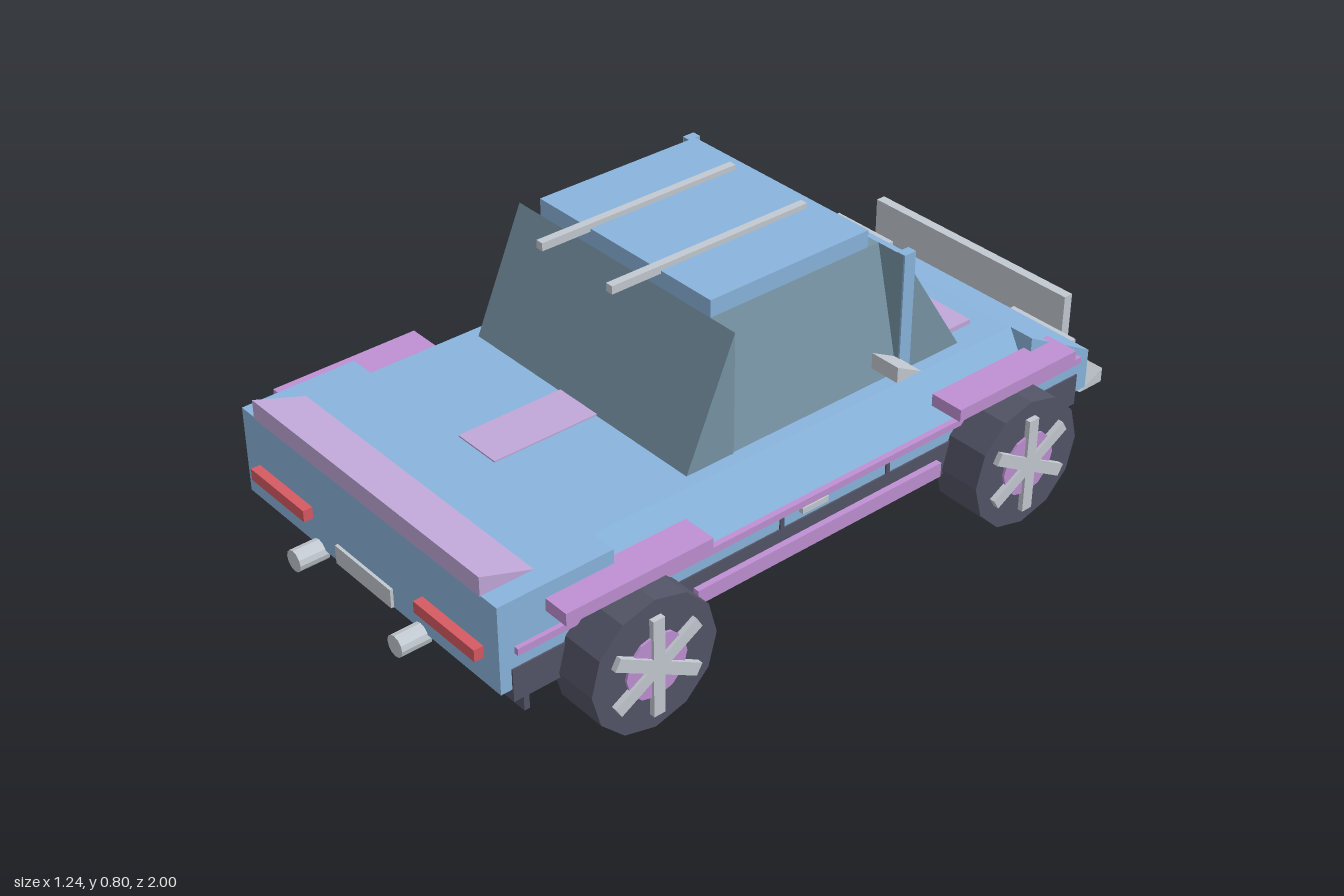
import * as THREE from 'three';

const paint = (name, color) => {
  const m = new THREE.MeshStandardMaterial({ color });
  m.name = name;
  return m;
};

export function createModel() {
  const blue = paint('bodyBlue', 0x8ab5dd);
  const glass = paint('glass', 0x7794a5);
  const dark = paint('darkGrey', 0x535567);
  const violet = paint('violet', 0xbf90d3);
  const lilac = paint('lilac', 0xc0a8d8);
  const silver = paint('silver', 0xc2c9d0);
  const red = paint('lampRed', 0xd65a62);

  const car = new THREE.Group();
  car.name = 'car';

  const add = (name, geometry, material, parent = car) => {
    const mesh = new THREE.Mesh(geometry, material);
    mesh.name = name;
    parent.add(mesh);
    return mesh;
  };
  // Box given by its limits on each axis
  const box = (name, mat, [x0, x1], [y0, y1], [z0, z1]) => {
    const g = new THREE.BoxGeometry(x1 - x0, y1 - y0, z1 - z0);
    g.translate((x0 + x1) / 2, (y0 + y1) / 2, (z0 + z1) / 2);
    return add(name, g, mat);
  };
  const pair = (name, mat, [x0, x1], ys, zs) => {
    box(name + 'Left', mat, [x0, x1], ys, zs);
    box(name + 'Right', mat, [-x1, -x0], ys, zs);
  };
  // Side profile of [z, y] points stretched across x
  const sidePrism = (name, mat, points, x0, x1) => {
    const shape = new THREE.Shape(points.map(([z, y]) => new THREE.Vector2(-z, y)));
    const g = new THREE.ExtrudeGeometry(shape, { depth: x1 - x0, bevelEnabled: false });
    g.rotateY(Math.PI / 2).translate(x0, 0, 0);
    return add(name, g, mat);
  };
  // Cross-section of [x, y] points, mirrored in x, stretched along z
  const longPrism = (name, mat, half, z0, z1) => {
    const mirrored = half.map(([x, y]) => [-x, y]).reverse();
    const shape = new THREE.Shape([...half, ...mirrored].map(([x, y]) => new THREE.Vector2(x, y)));
    const g = new THREE.ExtrudeGeometry(shape, { depth: z1 - z0, bevelEnabled: false });
    g.translate(0, 0, z0);
    return add(name, g, mat);
  };

  // Body: tail block, middle with slanted shoulders, sloping nose
  box('tailBody', blue, [-0.49, 0.49], [0.195, 0.427], [0.62, 0.93]);
  longPrism('middleBody', blue, [[0.49, 0.195], [0.49, 0.3], [0.42, 0.427]], -0.68, 0.62);
  sidePrism('noseBody', blue,
    [[-0.68, 0.195], [-0.68, 0.427], [-0.9, 0.305], [-0.9, 0.195]], -0.49, 0.49);
  box('chassis', dark, [-0.494, 0.494], [0.163, 0.25], [-0.86, 0.9]);

  // Cabin
  longPrism('cabinGlass', glass, [[0.385, 0.42], [0.305, 0.745]], -0.325, 0.19);
  sidePrism('rearWindow', glass, [[0.33, 0.425], [0.19, 0.425], [0.19, 0.745]], -0.387, 0.387);
  sidePrism('windshield', glass, [[-0.325, 0.425], [-0.53, 0.425], [-0.325, 0.745]], -0.387, 0.387);
  pair('pillar', blue, [0.367, 0.392], [0.425, 0.747], [-0.36, -0.325]);
  box('roof', blue, [-0.305, 0.305], [0.74, 0.79], [-0.29, 0.19]);
  pair('roofRail', silver, [0.115, 0.136], [0.782, 0.803], [-0.255, 0.33]);
  for (const x0 of [0.375, -0.46]) {
    sidePrism('mirror', silver, [[-0.25, 0.465], [-0.25, 0.507], [-0.33, 0.465]], x0, x0 + 0.085);
  }

  // Trim on top
  box('trunkStripe', lilac, [-0.068, 0.068], [0.424, 0.431], [0.32, 0.62]);
  box('hoodStripe', lilac, [-0.068, 0.068], [0.424, 0.431], [-0.68, -0.53]);
  box('hoodVent', lilac, [-0.345, 0.345], [0.424, 0.44], [-0.615, -0.53]);
  sidePrism('spoiler', lilac, [[0.932, 0.425], [0.932, 0.476], [0.785, 0.425]], -0.435, 0.435);

  // Side trim
  pair('rearFlare', violet, [0.467, 0.56], [0.357, 0.39], [0.4, 0.805]);
  pair('frontFlare', violet, [0.467, 0.56], [0.357, 0.39], [-0.765, -0.365]);
  pair('sideMoulding', violet, [0.485, 0.502], [0.288, 0.306], [-0.86, 0.89]);
  pair('sillSkirt', violet, [0.485, 0.51], [0.175, 0.215], [-0.365, 0.4]);
  pair('doorHandle', silver, [0.488, 0.503], [0.27, 0.285], [0, 0.08]);
  for (const z of [0.135, -0.2]) {
    pair('doorGap', dark, [0.487, 0.494], [0.25, 0.29], [z - 0.006, z + 0.006]);
  }

  // Rear end
  pair('tailLamp', red, [0.215, 0.435], [0.264, 0.295], [0.925, 0.955]);
  box('rearPlate', silver, [-0.108, 0.108], [0.205, 0.255], [0.936, 0.944]);
  pair('mudFlap', dark, [0.303, 0.446], [0.075, 0.2], [0.825, 0.84]);
  for (const x of [-0.2, 0.2]) {
    const g = new THREE.CylinderGeometry(0.028, 0.028, 0.08, 12);
    g.rotateX(Math.PI / 2).translate(x, 0.185, 0.96);
    add('exhaust', g, silver);
  }

  // Front end
  pair('headLamp', silver, [0.22, 0.43], [0.245, 0.3], [-0.92, -0.89]);
  box('grille', dark, [-0.137, 0.137], [0.213, 0.265], [-0.93, -0.89]);
  box('frontGuard', silver, [-0.34, 0.34], [0.217, 0.36], [-1, -0.973]);
  sidePrism('splitter', silver, [[-0.905, 0.167], [-0.985, 0.167], [-0.985, 0.207]], -0.472, 0.472);

  // Wheels: twelve-sided tyre, hub disc and three crossed bars
  for (const side of [1, -1]) {
    for (const z of [0.604, -0.562]) {
      const wheel = new THREE.Group();
      wheel.name = 'wheel';
      wheel.position.set(side * 0.538, 0.177, z);
      car.add(wheel);
      const tyre = new THREE.CylinderGeometry(0.175, 0.175, 0.135, 12).rotateZ(Math.PI / 2);
      add('tyre', tyre, dark, wheel);
      const hub = new THREE.CylinderGeometry(0.085, 0.085, 0.012, 12).rotateZ(Math.PI / 2);
      add('hub', hub, violet, wheel).position.x = side * 0.068;
      for (let i = 0; i < 3; i++) {
        const bar = add('spokeBar', new THREE.BoxGeometry(0.024, 0.262, 0.032), silver, wheel);
        bar.position.x = side * 0.07;
        bar.rotation.x = i * Math.PI / 3;
      }
    }
  }
  for (const m of [blue, glass, dark, violet, lilac, silver, red]) m.flatShading = true;
  return car;
}
